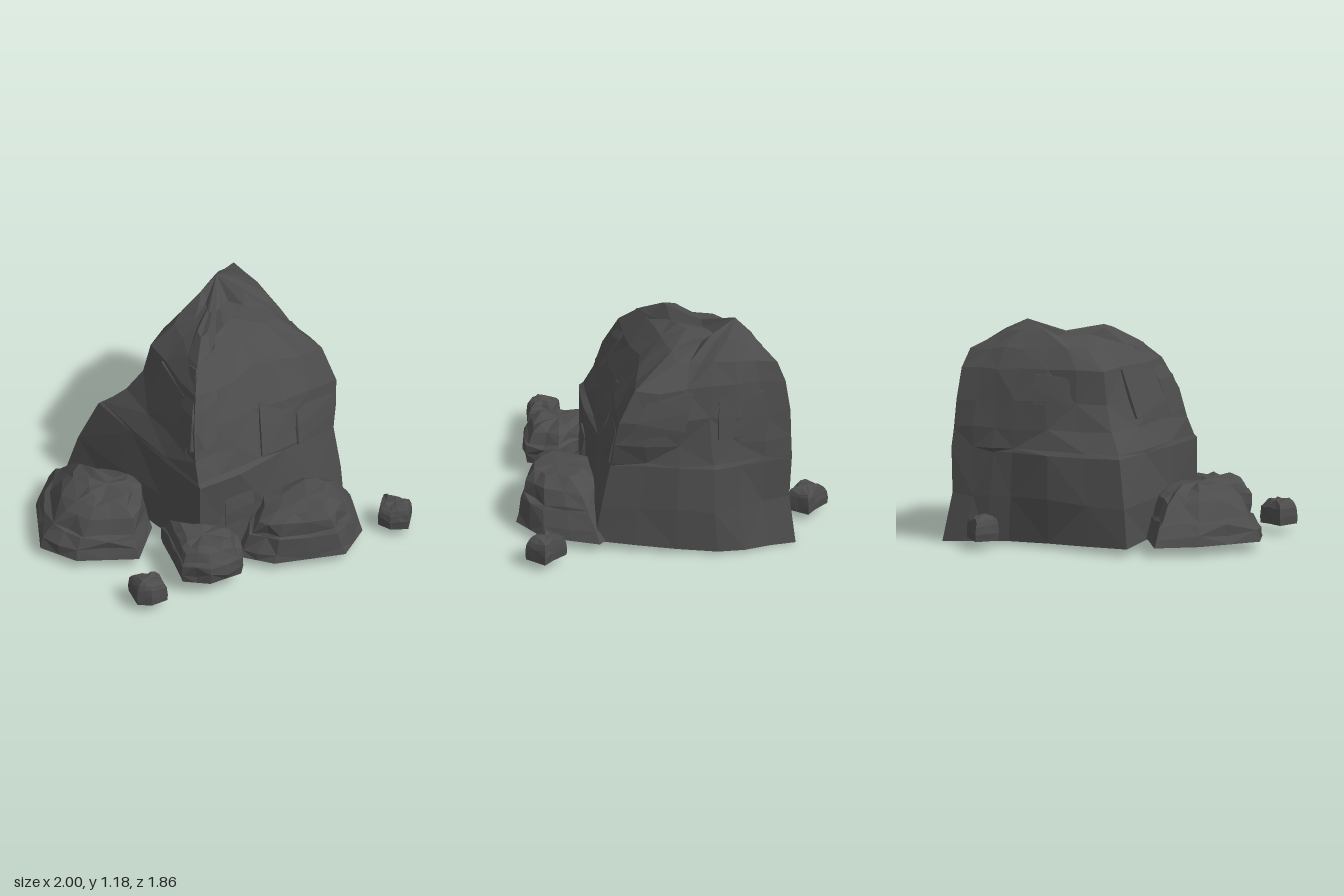
import * as THREE from 'three';
import { ConvexGeometry } from 'three/addons/geometries/ConvexGeometry.js';

// Seeded random in -1..1
function seeded(seed) {
  let s = seed;
  return () => {
    s = (s * 16807) % 2147483647;
    return (s / 2147483647) * 2 - 1;
  };
}

const stone = new THREE.MeshStandardMaterial({ color: 0x4c4c4c, flatShading: true, roughness: 1 });

// Skin rings of points (counter-clockwise from above, bottom first), closed by two centre points
function skin(rings, low, tip) {
  const n = rings[0].length;
  const pos = [...rings.flat(2), ...low, ...tip];
  const a = rings.length * n, b = a + 1, top = a - n;
  const idx = [];
  for (let i = 0; i < n; i++) {
    const j = (i + 1) % n;
    idx.push(a, j, i, b, top + i, top + j);
    for (let r = 0; r < rings.length - 1; r++) {
      const p = r * n + i, q = r * n + j;
      if ((i + r) % 2) idx.push(p, q, q + n, p, q + n, p + n);
      else idx.push(p, q, p + n, q, q + n, p + n);
    }
  }
  const g = new THREE.BufferGeometry();
  g.setAttribute('position', new THREE.Float32BufferAttribute(pos, 3));
  g.setIndex(idx);
  const flat = g.toNonIndexed();
  flat.computeVertexNormals();
  return flat;
}

function addMesh(parent, name, geometry) {
  const m = new THREE.Mesh(geometry, stone);
  m.name = name;
  parent.add(m);
  return m;
}

// Crag corners (x, z) by height: left, front, front recess, right, back right, back, back recess
const SIDES = 7;
const LEVELS = [
  [0.04, [-0.86, -0.26], [-0.1, 0.46], [0.22, 0.25], [0.63, -0.05], [0.36, -0.65], [0.04, -0.94], [-0.2, -0.66]],
  [0.25, [-0.80, -0.25], [-0.1, 0.47], [0.22, 0.24], [0.61, -0.08], [0.36, -0.63], [0.02, -0.89], [-0.2, -0.65]],
  [0.49, [-0.69, -0.23], [-0.1, 0.47], [0.2, 0.23], [0.57, -0.11], [0.33, -0.61], [0.01, -0.90], [-0.2, -0.64]],
  [0.51, [-0.66, -0.22], [-0.11, 0.45], [0.2, 0.2], [0.57, -0.12], [0.32, -0.60], [0.01, -0.90], [-0.2, -0.63]],
  [0.62, [-0.54, -0.21], [-0.13, 0.40], [0.18, 0.16], [0.58, -0.14], [0.31, -0.58], [0.0, -0.89], [-0.2, -0.63]],
  [0.76, [-0.45, -0.20], [-0.14, 0.35], [0.15, 0.10], [0.58, -0.17], [0.29, -0.56], [-0.01, -0.88], [-0.19, -0.62]],
  [0.93, [-0.41, -0.20], [-0.14, 0.25], [0.14, -0.04], [0.50, -0.22], [0.25, -0.55], [-0.01, -0.85], [-0.18, -0.59]],
  [1.04, [-0.29, -0.24], [-0.14, 0.12], [0.07, -0.13], [0.26, -0.34], [0.19, -0.52], [-0.01, -0.80], [-0.16, -0.55]],
  [1.125, [-0.18, -0.24], [-0.13, -0.03], [-0.02, -0.18], [0.07, -0.38], [0.05, -0.53], [-0.05, -0.64], [-0.13, -0.50]],
];

// Point on the crag at height y; u counts round the corners, out pushes it outward
function cragPoint(u, y, out = 0) {
  let k = 0;
  while (k < LEVELS.length - 2 && LEVELS[k + 1][0] < y) k++;
  const f = (y - LEVELS[k][0]) / (LEVELS[k + 1][0] - LEVELS[k][0]);
  const at = (i, c) =>
    THREE.MathUtils.lerp(LEVELS[k][1 + i % SIDES][c], LEVELS[k + 1][1 + i % SIDES][c], f);
  const i = Math.floor(u), t = u - i;
  const x = at(i, 0) + (at(i + 1, 0) - at(i, 0)) * t;
  const z = at(i, 1) + (at(i + 1, 1) - at(i, 1)) * t;
  const d = new THREE.Vector2(x + 0.05, z + 0.28).normalize();
  return new THREE.Vector3(x + d.x * out, y, z + d.y * out);
}

function cragGeometry() {
  const rnd = seeded(41), per = 3;
  const tip = new THREE.Vector3(-0.08, 1.185, -0.5);
  const rings = LEVELS.map(([y], r) => {
    const ring = [];
    for (let i = 0; i < SIDES * per; i++) {
      const corner = i % per === 0;
      const p = cragPoint(i / per, y, corner ? 0 : 0.004 + rnd() * 0.015);
      // the underside dips toward the back
      if (r === 0) p.y = 0.045 * (1 - THREE.MathUtils.clamp((-p.z - 0.15) / 0.78, 0, 1));
      else p.y += rnd() * (r === 2 || r === 3 ? 0.004 : 0.012);
      // saddle between the front shoulder and the peak
      if (r === LEVELS.length - 1 && p.z > -0.4 && p.z < -0.1) p.y -= 0.045;
      ring.push(p.toArray());
    }
    return ring;
  });
  rings.push(rings.at(-1).map((q) => {
    const p = new THREE.Vector3(...q).lerp(tip, 0.5);
    if (p.z > -0.42) p.y -= 0.05;
    return p.toArray();
  }));
  return skin(rings, [-0.05, 0.03, -0.2], tip.toArray());
}

// Split plate of rock lying on the crag between two u values and two heights
function plateGeometry(u0, u1, y0, y1, out, skew) {
  const pts = [];
  for (let a = 0; a <= 3; a++) {
    for (let b = 0; b <= 2; b++) {
      const y = y0 + (y1 - y0) * b / 2 + skew * (a / 3 - 0.5);
      const u = u0 + (u1 - u0) * a / 3 + skew * (b - 1) * 0.5;
      pts.push(cragPoint(u, y, out * (b === 2 ? 0.5 : 1)), cragPoint(u, y, -0.08));
    }
  }
  return new ConvexGeometry(pts);
}

// Boulder: plan outline (x, z), profile of [height, scale, shift x, shift z], split and roughened
function boulderGeometry(outline, profile, low, seed, rough) {
  const rnd = seeded(seed), n = outline.length;
  const cx = outline.reduce((s, p) => s + p[0], 0) / n;
  const cz = outline.reduce((s, p) => s + p[1], 0) / n;
  const rings = profile.map(([y, s, dx = 0, dz = 0], r) => {
    const ring = [];
    for (let i = 0; i < n * 2; i++) {
      const p = outline[i >> 1], q = outline[((i + 1) >> 1) % n];
      const k = s + (r && i % 2 ? rnd() * rough : 0);
      ring.push([
        cx + dx + ((p[0] + q[0]) / 2 - cx) * k,
        y + (r ? rnd() * rough * 0.2 : 0),
        cz + dz + ((p[1] + q[1]) / 2 - cz) * k,
      ]);
    }
    return ring;
  });
  const [y, , dx = 0, dz = 0] = profile.at(-1);
  return skin(rings, [cx, low, cz], [cx + dx, y + 0.005, cz + dz]);
}

export function createModel() {
  const model = new THREE.Group();
  model.name = 'rockFormation';

  // Main crag with its split plates
  const crag = new THREE.Group();
  crag.name = 'crag';
  model.add(crag);
  addMesh(crag, 'cragBody', cragGeometry());
  [
    [0.3, 0.85, 0.64, 0.9, 0.02, -0.04],
    [0.75, 1.4, 0.67, 1.04, 0.025, 0.05],
    [2.05, 2.45, 0.55, 0.8, 0.015, 0.06],
    [2.5, 2.95, 0.50, 0.7, 0.015, 0.0],
    [3.2, 3.75, 0.68, 0.89, 0.015, 0.04],
    [4.1, 4.7, 0.66, 0.88, 0.015, 0.02],
    [6.2, 6.6, 0.74, 0.9, 0.012, -0.02],
    [1.4, 1.85, 0.2, 0.35, 0.02, 0.01],
  ].forEach((p) => addMesh(crag, 'rockPlate', plateGeometry(...p)));

  // Boulders leaning against the foot
  addMesh(model, 'rightSideBoulder', boulderGeometry(
    [[0.1, 0.47], [0.3, 0.52], [0.67, 0.41], [0.745, 0.2], [0.66, -0.1], [0.4, -0.12], [0.12, 0.15]],
    [[0.05, 1], [0.1, 0.92, 0, 0.01], [0.18, 0.82, 0, 0.03], [0.2, 0.77, 0, 0.03],
      [0.27, 0.67, 0, 0.05], [0.325, 0.42, 0.02, 0.07]],
    0.01, 7, 0.07));
  addMesh(model, 'leftSideBoulder', boulderGeometry(
    [[-0.95, -0.14], [-1, 0.1], [-0.95, 0.47], [-0.75, 0.57], [-0.42, 0.53], [-0.37, 0.25], [-0.45, 0.0], [-0.72, -0.07]],
    [[0.05, 1], [0.1, 0.95], [0.16, 0.87, 0.01], [0.18, 0.81, 0.02, 0.01], [0.26, 0.68, 0.05, 0.02],
      [0.3, 0.52, 0.06, 0.03], [0.33, 0.34, 0.09, 0.04]],
    0.01, 19, 0.07));
  addMesh(model, 'frontBoulder', boulderGeometry(
    [[-0.32, 0.41], [-0.24, 0.6], [-0.18, 0.76], [-0.02, 0.77], [0.15, 0.66], [0.11, 0.47], [-0.08, 0.43]],
    [[0.08, 0.92], [0.13, 0.97], [0.19, 0.96], [0.2, 0.88], [0.25, 0.75], [0.27, 0.52]], 0.05, 31, 0.08));

  // Loose stones
  const stoneOutline = [[-0.08, -0.09], [-0.09, 0.05], [-0.02, 0.09], [0.08, 0.08], [0.09, -0.05], [0.02, -0.06]];
  [[0.91, 0.09, 0], [-0.35, 0.835, 0.5], [-0.26, -0.835, 0.1]].forEach(([x, z, turn], i) => {
    const m = addMesh(model, 'looseStone', boulderGeometry(stoneOutline,
      [[0.045, 0.95], [0.09, 0.98], [0.13, 0.92], [0.155, 0.8], [0.17, 0.55]], 0.04, 50 + i * 9, 0.06));
    m.position.set(x, 0, z);
    m.rotation.y = turn;
  });

  return model;
}
